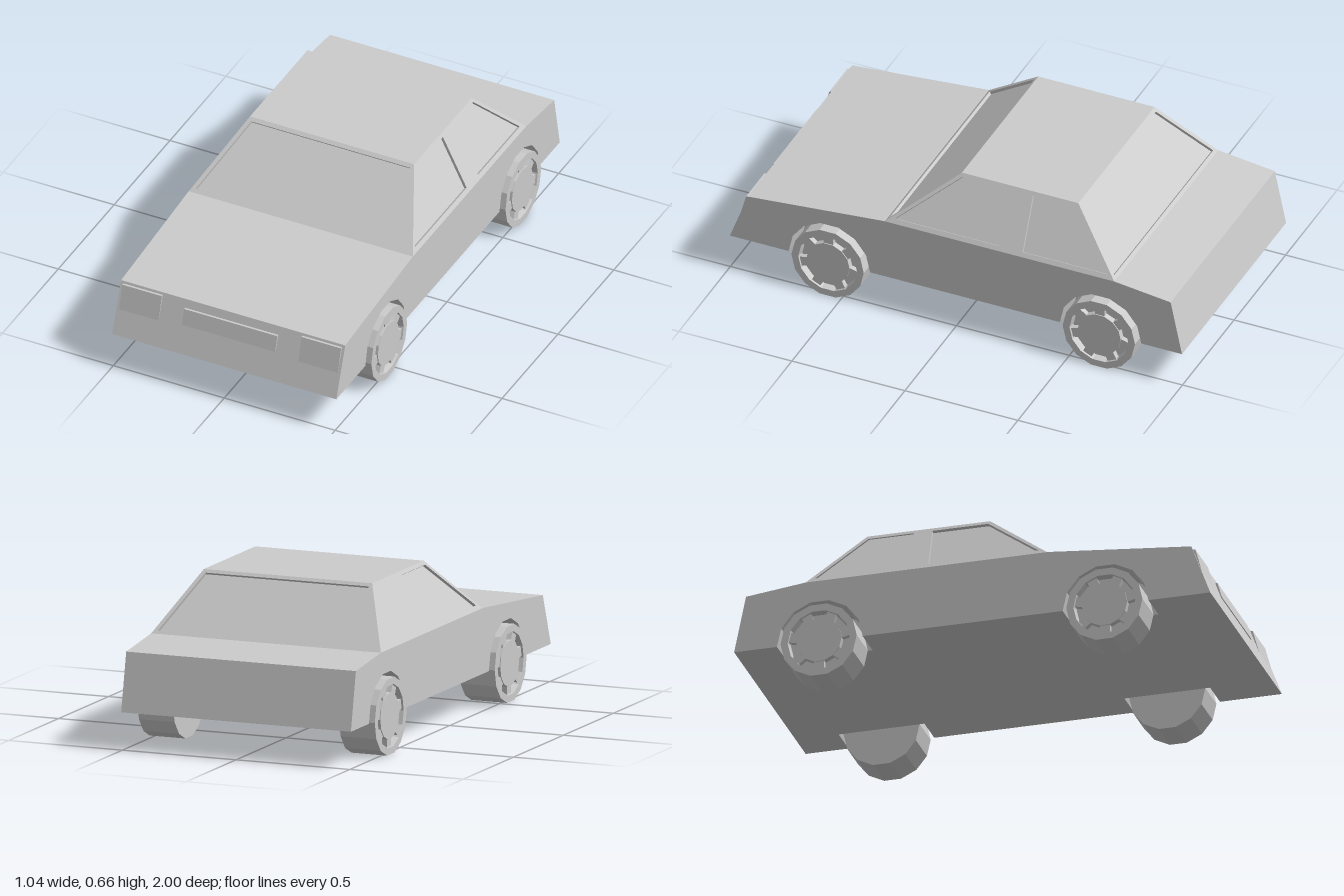
import * as THREE from 'three';

const mat = new THREE.MeshStandardMaterial({ color: 0xcccccc, flatShading: true });
const V = (x, y, z) => new THREE.Vector3(x, y, z);
const toShape = pts => new THREE.Shape(pts.map(p => new THREE.Vector2(p[0], p[1])));

const SILL = 0.155, BELT = 0.425, ROOF = 0.66, HALF = 0.505, ROOF_HALF = 0.37;
const FRONT_Z = 0.315, REAR_Z = -0.7, ROOF_FRONT = 0.035, ROOF_REAR = -0.48;
const AXLES = [-0.64, 0.56], WHEEL_IN = 0.365, WHEEL_OUT = 0.522, SIDES = 14;

function add(parent, name, geometry) {
  const mesh = new THREE.Mesh(geometry, mat);
  mesh.name = name;
  parent.add(mesh);
  return mesh;
}

// Extrudes a (z, y) side profile across the car from x0 to x1
function slab(pts, x0, x1) {
  const g = new THREE.ExtrudeGeometry(toShape(pts), { depth: x1 - x0, bevelEnabled: false });
  return g.rotateY(-Math.PI / 2).translate(x1, 0, 0);
}

// Lower body: solid middle, outer slabs with wheel arches
function makeBody() {
  const body = new THREE.Group();
  body.name = 'body';
  const profile = [[1, SILL], [0.92, 0.37], [0.32, BELT], [REAR_Z, BELT], [-0.95, 0.395], [-1, SILL]];
  const arched = [...profile];
  for (const z of AXLES) {
    for (let i = 0; i <= SIDES / 2; i++) {
      const a = Math.PI - (i * 2 * Math.PI) / SIDES;
      arched.push([z + 0.18 * Math.cos(a), SILL + 0.183 * Math.sin(a)]);
    }
  }
  add(body, 'bodyCentre', slab(profile, -WHEEL_IN, WHEEL_IN));
  add(body, 'leftFlank', slab(arched, WHEEL_IN, HALF));
  add(body, 'rightFlank', slab(arched, -HALF, -WHEEL_IN));
  return body;
}

// Sloping cabin wall; points are (distance along right, height)
function cabinPanel(name, base, right, up, outline, windows) {
  const depth = 0.012, slope = up.length() / (ROOF - BELT);
  const flat = pts => pts.map(([h, y]) => [h, (y - BELT) * slope]);
  const frame = toShape(flat(outline));
  for (const w of windows) frame.holes.push(toShape(flat(w)));
  const panel = new THREE.Group();
  panel.name = name;
  add(panel, name + 'Frame', new THREE.ExtrudeGeometry(frame, { depth, bevelEnabled: false }).translate(0, 0, -depth));
  add(panel, name + 'Glass', new THREE.ShapeGeometry(toShape(flat(outline))).translate(0, 0, -depth));
  const v = up.clone().normalize();
  const m = new THREE.Matrix4().makeBasis(right, v, right.clone().cross(v));
  panel.applyMatrix4(m.setPosition(base));
  return panel;
}

function makeCabin() {
  const cabin = new THREE.Group();
  cabin.name = 'cabin';
  const rise = ROOF - BELT;

  // Windscreen and rear window
  const endWall = [[-HALF, BELT], [HALF, BELT], [ROOF_HALF, ROOF], [-ROOF_HALF, ROOF]];
  const endGlass = [[-0.48, 0.437], [0.48, 0.437], [0.358, 0.648], [-0.358, 0.648]];
  cabin.add(cabinPanel('windscreen', V(0, BELT, FRONT_Z), V(1, 0, 0), V(0, rise, ROOF_FRONT - FRONT_Z), endWall, [endGlass]));
  cabin.add(cabinPanel('rearWindow', V(0, BELT, REAR_Z), V(-1, 0, 0), V(0, rise, ROOF_REAR - REAR_Z), endWall, [endGlass]));

  // Side walls, each with two windows
  const wall = [[FRONT_Z, BELT], [REAR_Z, BELT], [ROOF_REAR, ROOF], [ROOF_FRONT, ROOF]];
  const windows = [
    [[0.275, 0.443], [0.03, 0.645], [-0.205, 0.645], [-0.187, 0.443]],
    [[-0.283, 0.645], [-0.29, 0.443], [-0.663, 0.443], [-0.477, 0.645]],
  ];
  for (const s of [1, -1]) {
    const turn = pts => pts.map(([z, y]) => [-s * z, y]);
    cabin.add(cabinPanel(s > 0 ? 'leftSide' : 'rightSide', V(s * HALF, BELT, 0), V(0, 0, -s),
      V(s * (ROOF_HALF - HALF), rise, 0), turn(wall), windows.map(turn)));
  }

  add(cabin, 'roof', new THREE.BoxGeometry(2 * ROOF_HALF, 0.012, ROOF_FRONT - ROOF_REAR))
    .position.set(0, ROOF - 0.006, (ROOF_FRONT + ROOF_REAR) / 2);
  return cabin;
}

// Headlights and grille stand slightly proud of the sloping nose
function makeNose() {
  const nose = new THREE.Group();
  nose.name = 'nose';
  const faceZ = y => 1 - ((y - SILL) * 0.08) / (0.37 - SILL);
  const trim = (y0, y1, out0, out1) => [
    [faceZ(y0) - 0.01, y0], [faceZ(y0) + out0, y0], [faceZ(y1) + out1, y1], [faceZ(y1) - 0.01, y1],
  ];
  const light = trim(0.257, 0.36, 0, 0.01);
  add(nose, 'leftHeadlight', slab(light, 0.315, 0.493));
  add(nose, 'rightHeadlight', slab(light, -0.493, -0.315));
  add(nose, 'grille', slab(trim(0.27, 0.336, 0.004, 0.01), -0.21, 0.21));
  return nose;
}

// Wheel along +y, outer face up: tyre, sunken rim, raised hub and spokes
function makeWheel(name) {
  const wheel = new THREE.Group();
  wheel.name = name;
  const w = WHEEL_OUT - WHEEL_IN;
  const profile = [[0, 0], [0.16, 0], [0.16, w], [0.13, w], [0.125, w - 0.03], [0.095, w - 0.03], [0.095, w - 0.004], [0, w - 0.004]];
  const tyre = new THREE.LatheGeometry(profile.map(p => new THREE.Vector2(p[0], p[1])), SIDES);
  add(wheel, 'tyreAndHub', tyre);
  for (let i = 0; i < SIDES / 2; i++) {
    const spoke = new THREE.BoxGeometry(0.042, 0.026, 0.042).translate(0, w - 0.021, 0.109);
    add(wheel, 'spoke', spoke.rotateY(((i + 0.25) * 4 * Math.PI) / SIDES));
  }
  return wheel;
}

export function createModel() {
  const car = new THREE.Group();
  car.name = 'car';
  car.add(makeBody(), makeCabin(), makeNose());
  for (const z of AXLES) {
    for (const s of [1, -1]) {
      const wheel = makeWheel((z > 0 ? 'front' : 'rear') + (s > 0 ? 'Left' : 'Right') + 'Wheel');
      wheel.rotation.z = (-s * Math.PI) / 2;
      wheel.position.set(s * WHEEL_IN, 0.156, z);
      car.add(wheel);
    }
  }
  return car;
}
